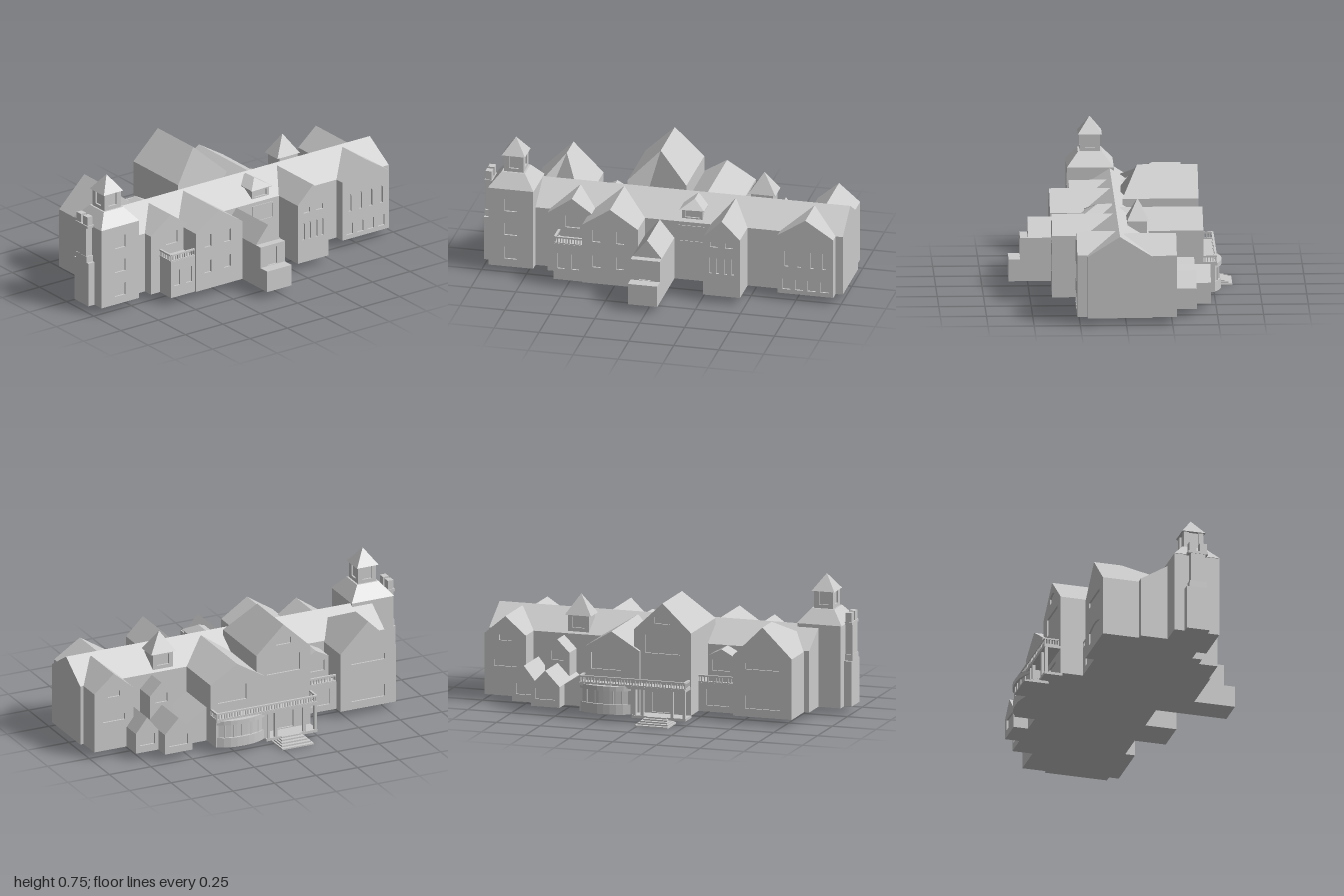
import * as THREE from 'three';

const mat = new THREE.MeshStandardMaterial({ color: 0xcccccc, flatShading: true, side: THREE.DoubleSide });
const BASE = 0.04;

export function createModel() {
  const root = new THREE.Group();
  root.name = 'manorHouse';

  const add = (name, geo, parent = root) => {
    const m = new THREE.Mesh(geo, mat);
    m.name = name;
    parent.add(m);
    return m;
  };
  // box given by its limits
  const box = (name, [x0, x1], [y0, y1], [z0, z1], parent = root) => {
    const m = add(name, new THREE.BoxGeometry(x1 - x0, y1 - y0, z1 - z0), parent);
    m.position.set((x0 + x1) / 2, (y0 + y1) / 2, (z0 + z1) / 2);
    return m;
  };
  // window outline, optionally with an arched head
  const opening = ([cx, cy, w, h, arch = 0]) => {
    const p = new THREE.Path();
    const l = cx - w / 2, r = cx + w / 2, b = cy - h / 2, t = cy + h / 2;
    p.moveTo(l, b).lineTo(r, b).lineTo(r, t - arch);
    if (arch) p.quadraticCurveTo(cx, t + arch, l, t - arch);
    else p.lineTo(l, t);
    p.closePath();
    return p;
  };
  const outline = (x0, x1, y0, eave, ridge) => {
    const s = new THREE.Shape();
    s.moveTo(x0, y0).lineTo(x1, y0).lineTo(x1, eave);
    if (ridge > eave) s.lineTo((x0 + x1) / 2, ridge);
    s.lineTo(x0, eave).closePath();
    return s;
  };
  // gabled block: solid core plus an outer wall skin with recessed windows;
  // hip pulls the ridge in from the end facing the main building
  const house = (name, [x0, x1], [z0, z1], eave, ridge, { face = 1, windows = [], hip = 0, y0 = BASE } = {}) => {
    const g = new THREE.Group();
    g.name = name;
    root.add(g);
    const t = windows.length ? 0.01 : 0;
    const a = face < 0 ? z0 + t : z0, b = face > 0 ? z1 - t : z1;
    const core = new THREE.ExtrudeGeometry(outline(x0, x1, y0, eave, ridge), { depth: b - a, bevelEnabled: false });
    core.translate(0, 0, a);
    if (hip) {
      const p = core.attributes.position, inner = face > 0 ? a : b;
      for (let i = 0; i < p.count; i++)
        if (Math.abs(p.getY(i) - ridge) < 1e-4 && Math.abs(p.getZ(i) - inner) < 1e-4) p.setZ(i, inner + face * hip);
      core.computeVertexNormals();
    }
    add(name + 'Core', core, g);
    if (t) {
      const s = outline(x0, x1, y0, eave, ridge);
      s.holes = windows.map(opening);
      const skin = new THREE.ExtrudeGeometry(s, { depth: t, bevelEnabled: false, curveSegments: 5 });
      skin.translate(0, 0, face > 0 ? b : z0);
      add(name + 'WindowWall', skin, g);
    }
    return g;
  };
  // square pyramid or frustum
  const pyramid = (name, x, z, y0, y1, wBottom, wTop, depthScale = 1) => {
    const geo = new THREE.CylinderGeometry(wTop * Math.SQRT1_2, wBottom * Math.SQRT1_2, y1 - y0, 4);
    geo.rotateY(Math.PI / 4);
    geo.scale(1, 1, depthScale);
    const m = add(name, geo);
    m.position.set(x, (y0 + y1) / 2, z);
  };
  // railing between two plan points
  const balustrade = (name, [xa, za], [xb, zb], y0, y1) => {
    const g = new THREE.Group();
    g.name = name;
    const len = Math.hypot(xb - xa, zb - za), n = Math.max(2, Math.round(len / 0.016));
    g.position.set(xa, 0, za);
    g.rotation.y = -Math.atan2(zb - za, xb - xa);
    root.add(g);
    box('rail', [0, len], [y1 - 0.009, y1], [-0.006, 0.006], g);
    box('kerb', [0, len], [y0, y0 + 0.006], [-0.006, 0.006], g);
    for (let i = 0; i <= n; i++) {
      const x = (i / n) * len;
      box('baluster', [x - 0.003, x + 0.003], [y0, y1 - 0.005], [-0.003, 0.003], g);
    }
  };
  const row = (xs, y, w, h, arch) => xs.map(x => [x, y, w, h, arch]);

  // main range, ridge along x
  const main = new THREE.Shape();
  main.moveTo(-0.21, BASE).lineTo(0.14, BASE).lineTo(0.14, 0.38).lineTo(-0.035, 0.49).lineTo(-0.21, 0.38).closePath();
  const mainGeo = new THREE.ExtrudeGeometry(main, { depth: 1.83, bevelEnabled: false });
  mainGeo.rotateY(Math.PI / 2);
  mainGeo.translate(-0.83, 0, 0);
  add('mainRange', mainGeo);

  // front wings
  house('frontLinkWing', [-0.63, -0.36], [0.06, 0.265], 0.38, 0.475, { windows: [[-0.49, 0.34, 0.08, 0.07]] });
  house('frontBay', [-0.57, -0.41], [0.2, 0.37], 0.25, 0.25,
    { windows: row([-0.53, -0.45], 0.15, 0.04, 0.09) });
  balustrade('frontBayRailing', [-0.565, 0.362], [-0.41, 0.362], 0.25, 0.29);
  balustrade('frontBaySideRailing', [-0.565, 0.265], [-0.565, 0.362], 0.25, 0.29);
  house('frontGableWing', [-0.41, -0.1], [0.045, 0.378], 0.38, 0.483,
    { windows: [...row([-0.33, -0.2], 0.32, 0.045, 0.07), ...row([-0.33, -0.2], 0.17, 0.045, 0.07)] });
  house('frontNarrowWing', [0.265, 0.47], [0.05, 0.385], 0.38, 0.48,
    { windows: [...row([0.325, 0.41], 0.34, 0.045, 0.03), ...row([0.305, 0.345, 0.39, 0.43], 0.22, 0.015, 0.1, 0.01)] });
  house('frontEndWing', [0.65, 0.96], [0.05, 0.265], 0.38, 0.48,
    { windows: [...row([0.7, 0.77, 0.84, 0.91], 0.25, 0.02, 0.1, 0.01), ...row([0.7, 0.77, 0.84, 0.91], 0.1, 0.045, 0.07, 0.01)] });

  // front porch
  house('porch', [-0.1, 0.063], [0.15, 0.503], 0.28, 0.38);
  house('porchDoorway', [-0.1, 0.063], [0.49, 0.545], 0.28, 0.28, { windows: [[-0.022, 0.212, 0.065, 0.1]] });
  box('porchLanding', [-0.1, 0.063], [BASE, 0.16], [0.5, 0.607]);

  // hipped dormer and the window beneath
  house('frontDormer', [0.1, 0.215], [0.05, 0.19], 0.447, 0.447, { y0: 0.385, windows: [[0.157, 0.417, 0.08, 0.035]] });
  house('frontDormerRoof', [0.09, 0.225], [0.05, 0.2], 0.447, 0.487, { face: -1, hip: 0.07, y0: 0.443 });
  house('frontWindow', [0.085, 0.23], [0.2, 0.214], 0.36, 0.36, { y0: 0.26, windows: [[0.157, 0.31, 0.125, 0.08]] });

  // corner tower
  house('tower', [-0.958, -0.71], [0.012, 0.265], 0.495, 0.495,
    { windows: row([-0.835], 0.12, 0.07, 0.07).concat(row([-0.835], 0.26, 0.07, 0.07), row([-0.835], 0.4, 0.07, 0.07)) });
  pyramid('towerSkirtRoof', -0.835, 0.14, 0.495, 0.57, 0.255, 0.13);
  box('lantern', [-0.88, -0.79], [0.57, 0.665], [0.095, 0.185]);
  for (const sx of [-1, 1]) for (const sz of [-1, 1]) {
    const x = -0.835 + sx * 0.041, z = 0.14 + sz * 0.041;
    box('lanternPost', [x - 0.014, x + 0.014], [0.57, 0.665], [z - 0.014, z + 0.014]);
  }
  box('lanternSill', [-0.89, -0.78], [0.57, 0.59], [0.085, 0.195]);
  pyramid('lanternRoof', -0.835, 0.14, 0.665, 0.755, 0.13, 0);

  // stepped chimney on the tower
  box('chimneyBase', [-1, -0.955], [BASE, 0.29], [0.07, 0.2]);
  pyramid('chimneyShoulder', -0.9775, 0.135, 0.29, 0.325, 0.045, 0.044, 2.2);
  box('chimneyStack', [-0.998, -0.957], [0.32, 0.49], [0.095, 0.175]);
  box('chimneyCap', [-1, -0.955], [0.49, 0.505], [0.08, 0.19]);
  for (const z of [0.105, 0.165]) box('chimneyPot', [-0.995, -0.96], [0.505, 0.555], [z - 0.02, z + 0.02]);

  // rear wings
  house('rearTowerWing', [-0.8, -0.465], [-0.345, 0.15], 0.375, 0.54,
    { face: -1, hip: 0.34, windows: [[-0.633, 0.32, 0.2, 0.035], [-0.633, 0.13, 0.2, 0.09, 0.02]] });
  house('rearTallWing', [-0.25, 0.077], [-0.42, -0.008], 0.495, 0.65,
    { face: -1, hip: 0.085, windows: [[-0.086, 0.56, 0.09, 0.05, 0.015], [-0.086, 0.42, 0.2, 0.1], [-0.086, 0.1, 0.12, 0.11]] });
  house('rearGableWing', [0.04, 0.36], [-0.437, 0.01], 0.38, 0.478,
    { face: -1, windows: [[0.23, 0.31, 0.17, 0.09]] });
  house('rearEndWing', [0.745, 0.98], [-0.273, 0.01], 0.38, 0.48,
    { face: -1, windows: [[0.862, 0.36, 0.07, 0.03], [0.862, 0.22, 0.13, 0.035]] });
  house('serviceWing', [0.485, 0.65], [-0.468, -0.1], 0.155, 0.24, { face: -1, windows: [[0.567, 0.11, 0.11, 0.06]] });
  house('smallServiceWing', [0.65, 0.785], [-0.387, -0.1], 0.155, 0.24, { face: -1, windows: [[0.717, 0.11, 0.09, 0.06]] });
  house('upperServiceWing', [0.5, 0.64], [-0.26, -0.1], 0.3, 0.37, { face: -1, windows: [[0.57, 0.28, 0.07, 0.05]] });

  // lean-to beside the rear gable
  const lean = new THREE.Shape();
  lean.moveTo(0.35, BASE).lineTo(0.485, BASE).lineTo(0.485, 0.155).lineTo(0.35, 0.24).closePath();
  const leanGeo = new THREE.ExtrudeGeometry(lean, { depth: 0.28, bevelEnabled: false });
  leanGeo.translate(0, 0, -0.387);
  add('leanTo', leanGeo);

  // rear stair turret with pyramid roof
  house('rearTurret', [0.435, 0.555], [-0.125, -0.02], 0.485, 0.485,
    { face: -1, y0: 0.36, windows: [[0.495, 0.44, 0.07, 0.06]] });
  pyramid('rearTurretRoof', 0.495, -0.075, 0.48, 0.592, 0.15, 0, 0.78);

  // rear infill with balcony and dormer
  house('rearInfill', [-0.47, -0.245], [-0.295, -0.1], 0.2, 0.2, { face: -1, windows: [[-0.36, 0.12, 0.13, 0.09]] });
  balustrade('infillRailing', [-0.465, -0.288], [-0.25, -0.288], 0.2, 0.24);
  house('rearDormer', [-0.44, -0.29], [-0.25, 0], 0.34, 0.38, { face: -1, y0: 0.19, windows: [[-0.365, 0.29, 0.1, 0.06]] });

  // garden terrace: room, deck, columns and railing
  box('gardenRoom', [0.05, 0.36], [BASE, 0.19], [-0.5, -0.42]);
  box('terraceDeck', [-0.248, 0.36], [0.185, 0.2], [-0.512, -0.41]);
  box('terraceFloor', [-0.248, 0.06], [0.025, BASE], [-0.51, -0.41]);
  for (const x of [-0.238, -0.17, 0, 0.045])
    box('terraceColumn', [x - 0.008, x + 0.008], [BASE, 0.19], [-0.508, -0.492]);
  balustrade('terraceRailing', [-0.245, -0.505], [0.357, -0.505], 0.2, 0.24);
  for (const x of [-0.242, 0.354]) balustrade('terraceEndRailing', [x, -0.505], [x, -0.43], 0.2, 0.24);

  // bow window in three bands, the glazing set back
  const bow = (name, y0, y1, depth, half) => {
    const s = new THREE.Shape();
    s.moveTo(-half, -0.02);
    for (let i = 0; i <= 8; i++) {
      const u = i / 4 - 1;
      s.lineTo(u * half, depth * (1 - Math.pow(Math.abs(u), 2.5)));
    }
    s.lineTo(half, -0.02).closePath();
    const geo = new THREE.ExtrudeGeometry(s, { depth: y1 - y0, bevelEnabled: false });
    geo.rotateX(-Math.PI / 2);
    geo.translate(0.212, y0, -0.5);
    add(name, geo);
  };
  bow('bowSill', BASE, 0.095, 0.038, 0.142);
  bow('bowGlazing', 0.095, 0.17, 0.025, 0.13);
  bow('bowCornice', 0.17, 0.195, 0.04, 0.145);
  for (let i = -2; i <= 2; i++) {
    const x = 0.212 + i * 0.05, z = -0.5 - 0.03 * (1 - Math.pow(Math.abs(i * 0.05) / 0.14, 2.5));
    box('bowMullion', [x - 0.004, x + 0.004], [0.09, 0.175], [z, z + 0.02]);
  }

  // garden steps, widening to the ground
  for (let i = 0; i < 5; i++) {
    const w = 0.095 - i * 0.009;
    box('gardenStep', [-0.085 - w, -0.085 + w], [i * 0.008, (i + 1) * 0.008], [-0.605 + i * 0.021, -0.465]);
  }
  return root;
}
